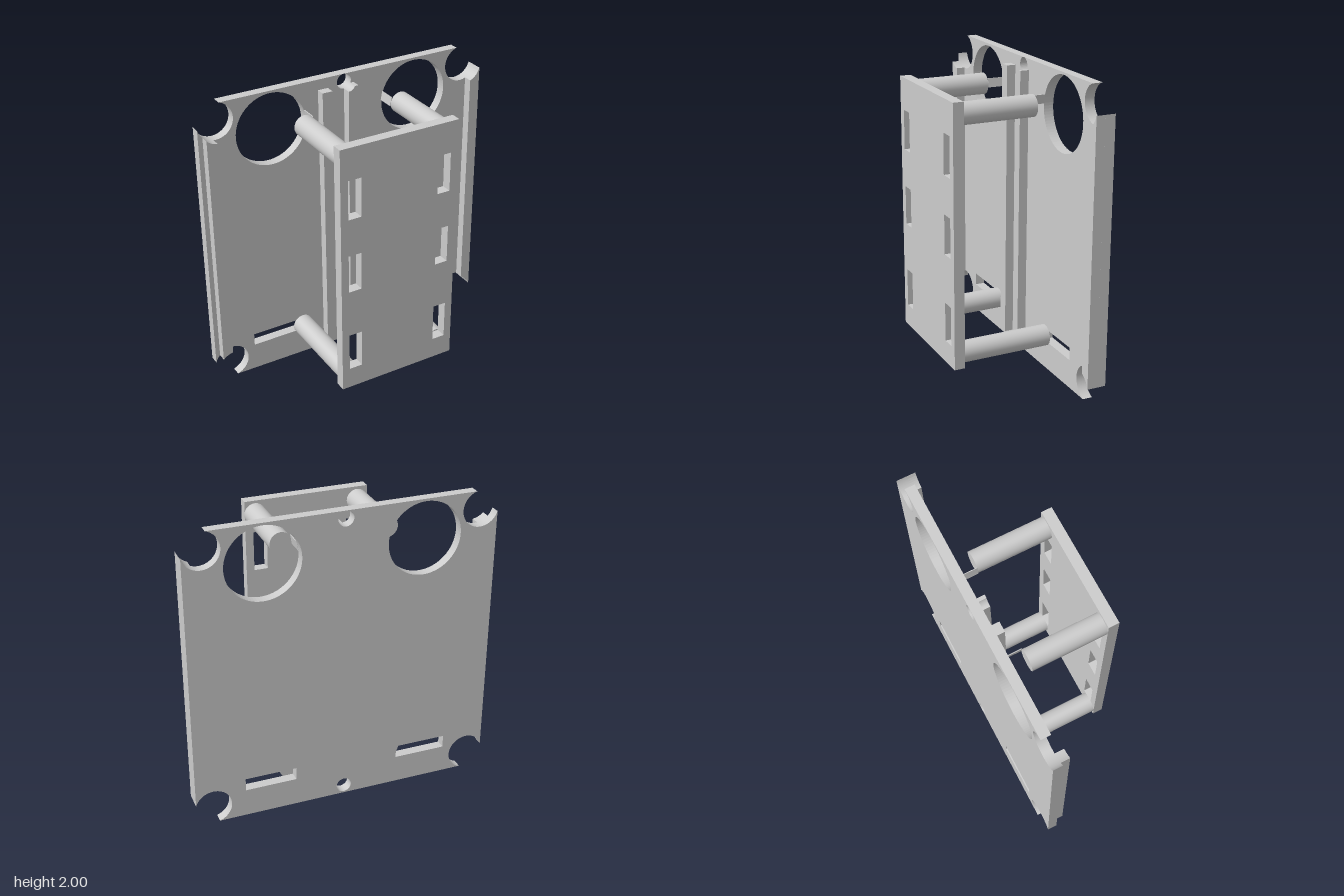
import * as THREE from 'three';

const material = new THREE.MeshStandardMaterial({ color: 0xcccccc });
const BACK = -0.37, FLOOR = -0.305, RIB = -0.245;   // back plate faces and rib front
const CORNER = 0.885, CORNER_R = 0.12;              // corner bites

export function createModel() {
  const group = new THREE.Group();

  const add = (name, geometry) => {
    const mesh = new THREE.Mesh(geometry, material);
    mesh.name = name;
    group.add(mesh);
    return mesh;
  };
  const slab = (name, shape, z0, z1) => {
    const geometry = new THREE.ExtrudeGeometry(shape, { depth: z1 - z0, bevelEnabled: false, curveSegments: 40 });
    geometry.translate(0, 0, z0);
    return add(name, geometry);
  };
  const rect = (x0, x1, y0, y1) => new THREE.Shape([
    new THREE.Vector2(x0, y0), new THREE.Vector2(x1, y0),
    new THREE.Vector2(x1, y1), new THREE.Vector2(x0, y1),
  ]);
  const circle = (x, y, r) => new THREE.Path().absarc(x, y, r, 0, Math.PI * 2, true);

  // Back plate: square with bitten corners, two big holes, two pin holes, two slots
  const plate = new THREE.Shape();
  const deg = Math.PI / 180;
  [[-1, -1], [1, -1], [1, 1], [-1, 1]].forEach(([sx, sy], k) => {
    plate.absarc(sx * CORNER, 1 + sy * CORNER, CORNER_R, (163.5 + 90 * k) * deg, (-73.5 + 90 * k) * deg, true);
  });
  plate.closePath();
  plate.holes.push(
    circle(-0.515, 1.745, 0.24), circle(0.515, 1.745, 0.24),
    circle(0, 1.95, 0.05), circle(0, 0.06, 0.05),
    rect(-0.715, -0.37, 0.19, 0.275), rect(0.33, 0.67, 0.19, 0.275),
  );
  slab('backPlate', plate, BACK, FLOOR);

  // Side ribs, their ends following the corner bites
  const sideRib = (name, x0, x1) => {
    const lower = [], upper = [];
    for (let i = 0; i <= 8; i++) {
      const x = x0 + (x1 - x0) * i / 8;
      const reach = 1 - CORNER + Math.sqrt(CORNER_R ** 2 - (Math.abs(x) - CORNER) ** 2);
      lower.push(new THREE.Vector2(x, reach));
      upper.unshift(new THREE.Vector2(x, 2 - reach));
    }
    slab(name, new THREE.Shape([...lower, ...upper]), FLOOR, RIB);
  };
  sideRib('rightSideRib', -0.97, -0.9);
  sideRib('leftSideRib', 0.93, 1);

  // Middle rails; the left one is notched by the pin holes
  slab('rightRail', rect(-0.185, -0.115, 0.075, 1.93), FLOOR, RIB);
  const rail = new THREE.Shape();
  rail.moveTo(0.07, 0.075);
  rail.lineTo(0.07, 1.93);
  rail.absarc(0, 1.95, 0.05, -Math.asin(0.4), -Math.PI / 2, true);
  rail.absarc(0, 0.06, 0.05, Math.PI / 2, Math.asin(0.3), true);
  rail.closePath();
  slab('leftRail', rail, FLOOR, RIB);

  // Front plate with six windows
  const front = rect(-0.415, 0.412, 0.145, 1.862);
  for (const [y0, y1] of [[0.29, 0.55], [0.875, 1.135], [1.387, 1.65]]) {
    front.holes.push(rect(-0.363, -0.273, y0, y1), rect(0.27, 0.36, y0, y1));
  }
  slab('frontPlate', front, 0.3, 0.37);

  // Posts: lower ones reach the back plate, upper ones stop short over the big holes
  const post = (name, x, y, z0) => {
    const geometry = new THREE.CylinderGeometry(0.07, 0.07, 0.3 - z0, 40);
    geometry.rotateX(Math.PI / 2);
    add(name, geometry).position.set(x, y, (0.3 + z0) / 2);
  };
  for (const [side, s] of [['left', 1], ['right', -1]]) {
    post(side + 'LowerPost', s * 0.345, 0.23, FLOOR);
    post(side + 'UpperPost', s * 0.345, 1.775, -0.19);
    // Thin remnant of the post along the edge of the hole
    const sliver = add(side + 'PostSliver', new THREE.BoxGeometry(0.005, 0.06, 0.115));
    sliver.position.set(s * 0.278, 1.79, -0.2475);
    sliver.rotation.z = -s * 0.17;
  }
  return group;
}
